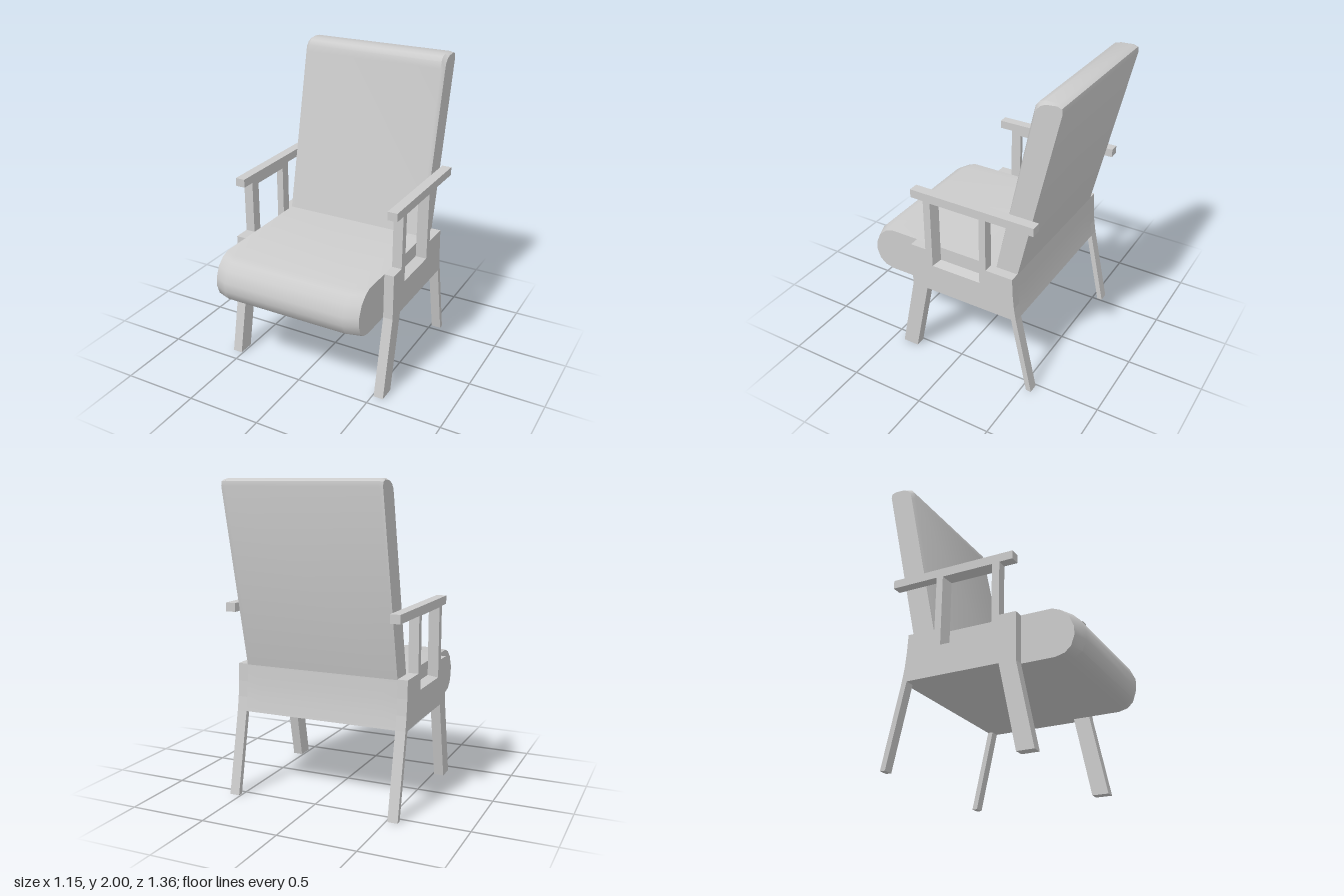
import * as THREE from 'three';
import { toCreasedNormals } from 'three/addons/utils/BufferGeometryUtils.js';

const material = new THREE.MeshStandardMaterial({ color: 0xcccccc, side: THREE.DoubleSide });

function part(name, geometry) {
  const mesh = new THREE.Mesh(geometry, material);
  mesh.name = name;
  return mesh;
}

// Joins side-on sections { x, pts: [z, y][] }, ordered along x, with optional end caps
function loft(sections, capped = true) {
  const v = [];
  const rings = sections.map(({ x, pts }) => pts.map(([z, y]) => [x, y, z]));
  const n = rings[0].length;
  for (let i = 0; i < rings.length - 1; i++) {
    for (let j = 0; j < n; j++) {
      const k = (j + 1) % n;
      const a = rings[i][j], b = rings[i][k], c = rings[i + 1][k], d = rings[i + 1][j];
      v.push(...a, ...b, ...c, ...a, ...c, ...d);
    }
  }
  if (capped) {
    for (const [ring, end] of [[rings[0], false], [rings[rings.length - 1], true]]) {
      const mid = [0, 1, 2].map((c) => ring.reduce((s, p) => s + p[c], 0) / n);
      for (let j = 0; j < n; j++) {
        const p = ring[j], q = ring[(j + 1) % n];
        v.push(...mid, ...(end ? p : q), ...(end ? q : p));
      }
    }
  }
  const g = new THREE.BufferGeometry();
  g.setAttribute('position', new THREE.Float32BufferAttribute(v, 3));
  return toCreasedNormals(g, 0.65);
}

// Cushion with a full middle section and slightly shrunken ends
function cushion(name, middle, ends, halfWidth, inner) {
  return part(name, loft([
    { x: -halfWidth, pts: ends }, { x: -inner, pts: middle },
    { x: inner, pts: middle }, { x: halfWidth, pts: ends },
  ]));
}

const rect = (z0, z1, y0, y1) => [[z0, y1], [z1, y1], [z1, y0], [z0, y0]];

// One side: legs, rail, posts, window lining and armrest
function createSide(name) {
  const side = new THREE.Group();
  side.name = name;
  const outer = 0.575, inner = 0.51;

  const outline = [
    [0.31, 0.835], [0.2, 0.835], [0.2, 1.19], [-0.24, 1.19], [-0.24, 0.835],
    [-0.425, 0.835], [-0.43, 0.72], [-0.44, 0.62], [-0.455, 0.53], [-0.57, 0],
    [-0.535, 0], [-0.42, 0.53], [0.2, 0.53], [0.31, 0], [0.42, 0], [0.31, 0.53],
  ];
  const wide = rect(-0.195, 0.15, 0.725, 1.187);
  const narrow = rect(-0.17, 0.13, 0.74, 1.165);
  const toPoints = (list) => list.map(([z, y]) => new THREE.Vector2(z, y));
  const shape = new THREE.Shape(toPoints(outline));
  shape.holes.push(new THREE.Path(toPoints(wide)));
  const frame = new THREE.ExtrudeGeometry(shape, { depth: outer - inner, bevelEnabled: false });
  frame.rotateY(-Math.PI / 2).translate(outer, 0, 0);
  side.add(part('legFrame', frame));

  // Window opening narrows towards the seat
  side.add(part('windowLining', loft([
    { x: outer, pts: wide }, { x: inner, pts: narrow }, { x: inner, pts: wide },
  ], false)));

  const arm = new THREE.BoxGeometry(outer - inner, 0.055, 0.85);
  arm.translate((outer + inner) / 2, 1.2175, -0.135);
  side.add(part('armrest', arm));
  return side;
}

export function createModel() {
  const chair = new THREE.Group();
  chair.name = 'armchair';

  // Seat with a rolled front edge and a gently curved rear panel
  const rear = [[-0.455, 0.53], [-0.44, 0.62], [-0.43, 0.72], [-0.425, 0.835]];
  chair.add(cushion('seat',
    [...rear, [0.55, 0.835], [0.6, 0.815], [0.645, 0.77], [0.678, 0.7],
      [0.678, 0.64], [0.65, 0.575], [0.6, 0.543], [0.53, 0.53]],
    [...rear, [0.51, 0.835], [0.56, 0.815], [0.61, 0.77], [0.64, 0.7],
      [0.643, 0.645], [0.62, 0.58], [0.58, 0.545], [0.52, 0.53]],
    0.51, 0.42));

  // Reclined backrest with a rounded top
  chair.add(cushion('backrest',
    [[-0.425, 0.83], [-0.678, 1.955], [-0.674, 1.985], [-0.645, 2], [-0.57, 2],
      [-0.53, 1.988], [-0.507, 1.96], [-0.497, 1.915], [-0.275, 0.83]],
    [[-0.425, 0.83], [-0.678, 1.955], [-0.674, 1.982], [-0.645, 1.993], [-0.58, 1.988],
      [-0.545, 1.972], [-0.523, 1.945], [-0.512, 1.9], [-0.278, 0.83]],
    0.51, 0.485));

  // Mirrored sides
  const left = createSide('leftSide');
  const right = createSide('rightSide');
  right.scale.x = -1;
  chair.add(left, right);
  return chair;
}
